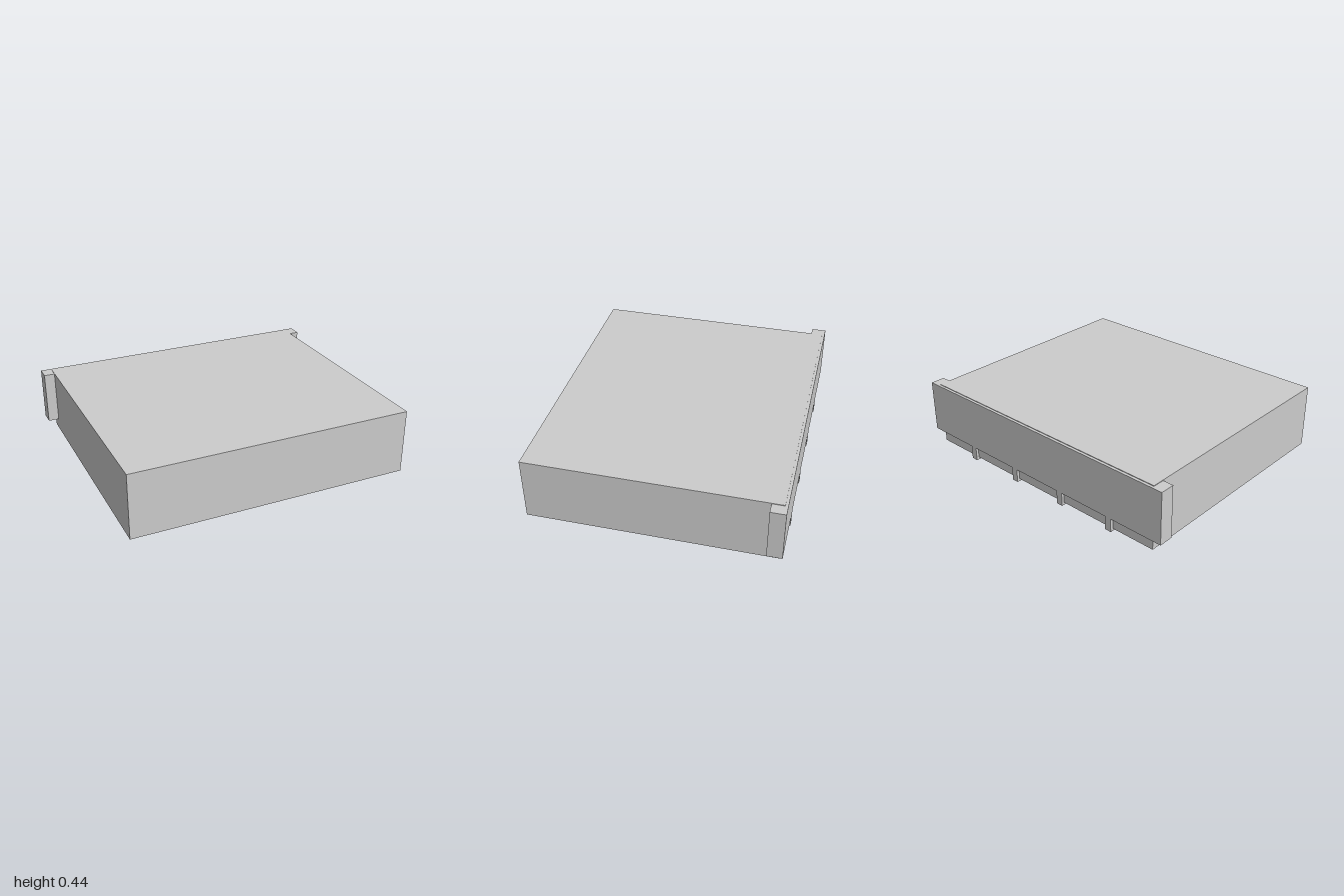
import * as THREE from 'three';

const material = new THREE.MeshStandardMaterial({ color: 0xcccccc, flatShading: true });

// Box given by its lower and upper limits on each axis
function block(name, [x0, x1], [y0, y1], [z0, z1]) {
  const mesh = new THREE.Mesh(new THREE.BoxGeometry(x1 - x0, y1 - y0, z1 - z0), material);
  mesh.position.set((x0 + x1) / 2, (y0 + y1) / 2, (z0 + z1) / 2);
  mesh.name = name;
  return mesh;
}

export function createModel() {
  const model = new THREE.Group();
  model.name = 'slab';
  const edgeZ = [-0.806, -0.71];

  // Main slab
  model.add(block('body', [-0.93, 0.93], [0.016, 0.444], [-0.788, 0.806]));

  // Wider beam across the back edge
  model.add(block('backBeam', [-1, 1], [0.091, 0.44], edgeZ));

  // Four narrow brackets reaching under the slab from the beam
  for (const x of [-0.605, -0.202, 0.202, 0.605]) {
    model.add(block('bracket', [x - 0.022, x + 0.022], [0, 0.2], edgeZ));
  }

  return model;
}
